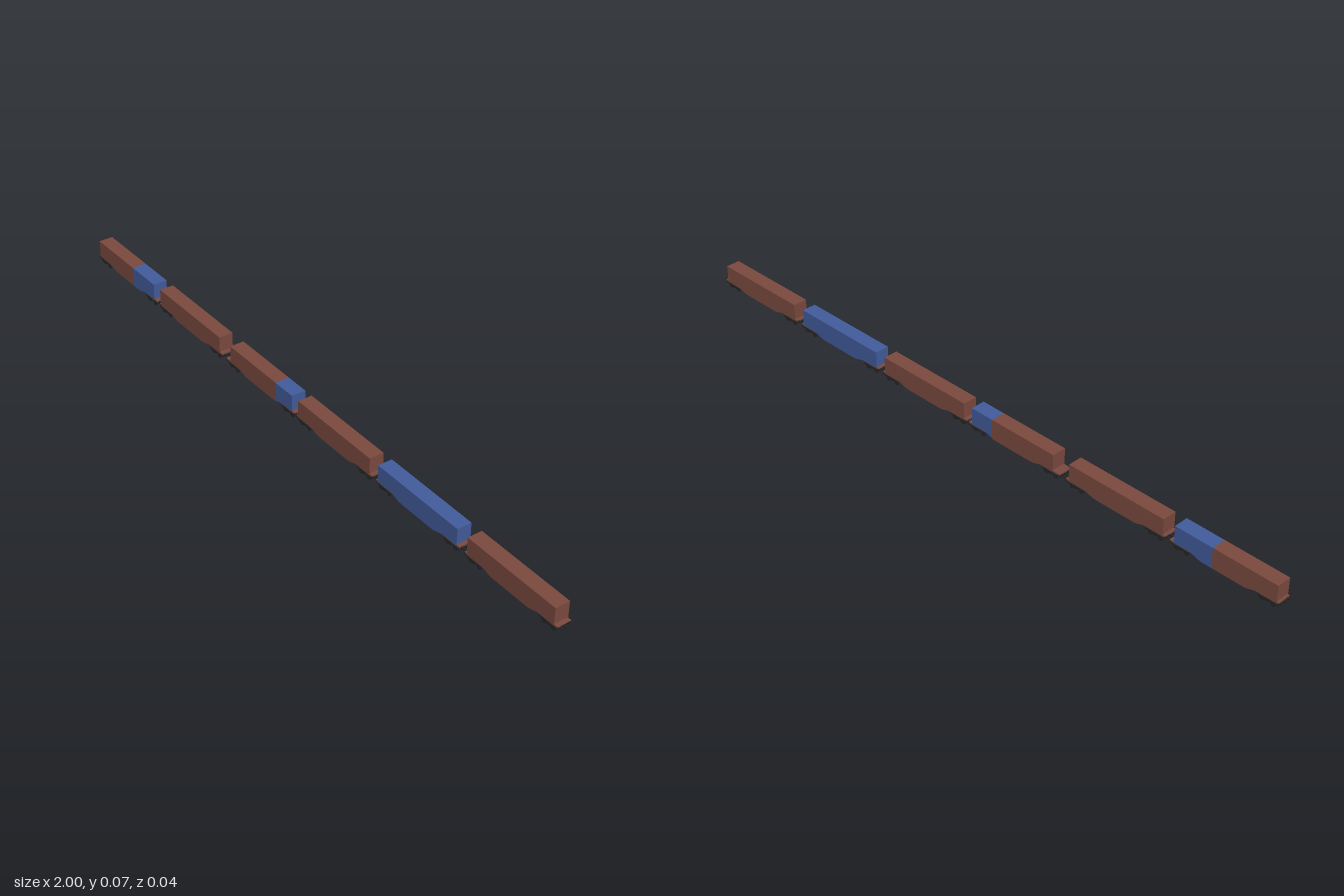
import * as THREE from 'three';

const mat = (name, color) => {
  const m = new THREE.MeshStandardMaterial({ color });
  m.name = name;
  return m;
};

export function createModel() {
  const brown = mat('oxide brown', 0x7b4a3f);
  const blue = mat('container blue', 0x425c9c);
  const black = mat('running gear black', 0x262626);
  const train = new THREE.Group();
  train.name = 'containerTrain';

  const add = (parent, name, geo, material, x = 0, y = 0, z = 0) => {
    const m = new THREE.Mesh(geo, material);
    m.name = name;
    m.position.set(x, y, z);
    parent.add(m);
    return m;
  };
  const box = (parent, name, material, w, h, d, x, y, z = 0) =>
    add(parent, name, new THREE.BoxGeometry(w, h, d), material, x, y, z);

  // fish-bellied lower edge of the side sill, measured from the wagon middle
  const bellyY = (x) => {
    const t = THREE.MathUtils.clamp((0.105 - Math.abs(x)) / 0.045, 0, 1);
    return 0.021 - 0.01 * t * t * (3 - 2 * t);
  };
  const sillGeometry = (x0, x1, depth) => {
    const s = new THREE.Shape();
    s.moveTo(x0, 0.0255);
    const n = 32;
    for (let i = 0; i <= n; i++) {
      const x = x0 + ((x1 - x0) * i) / n;
      s.lineTo(x, bellyY(x));
    }
    s.lineTo(x1, 0.0255);
    return new THREE.ExtrudeGeometry(s, { depth, bevelEnabled: false });
  };

  const wheelGeo = new THREE.CylinderGeometry(0.0075, 0.0075, 0.003, 16).rotateX(Math.PI / 2);
  const axleGeo = new THREE.CylinderGeometry(0.0018, 0.0018, 0.034, 8).rotateX(Math.PI / 2);
  const bufferGeo = new THREE.CylinderGeometry(0.0032, 0.0032, 0.002, 12).rotateZ(Math.PI / 2);

  // two-axle bogie
  const makeBogie = (x) => {
    const g = new THREE.Group();
    g.name = 'bogie';
    g.position.x = x;
    box(g, 'bolster', black, 0.012, 0.006, 0.036, 0, 0.0145);
    for (const s of [-1, 1]) {
      box(g, 'bogieSideFrame', black, 0.052, 0.004, 0.003, 0, 0.0145, s * 0.0192);
      box(g, 'springNest', black, 0.012, 0.006, 0.003, 0, 0.0115, s * 0.0192);
      add(g, 'axle', axleGeo, black, s * 0.0155, 0.0075, 0);
      for (const k of [-1, 1]) {
        add(g, 'wheel', wheelGeo, black, s * 0.0155, 0.0075, k * 0.0155);
        box(g, 'axleBox', black, 0.007, 0.006, 0.003, s * 0.0155, 0.0115, k * 0.0192);
      }
    }
    return g;
  };

  // wagon: centre, then loads as [start, end, material]
  const wagons = [
    [-0.836, [[-0.99, -0.803, brown], [-0.803, -0.69, blue]]],
    [-0.504, [[-0.656, -0.355, brown]]],
    [-0.165, [[-0.302, -0.091, brown], [-0.091, -0.018, blue]]],
    [0.161, [[0.01, 0.311, brown]]],
    [0.495, [[0.344, 0.645, blue]]],
    [0.833, [[0.682, 0.981, brown]]],
  ];

  wagons.forEach(([cx, loads], i) => {
    const w = new THREE.Group();
    w.name = 'wagon' + (i + 1);
    w.position.x = cx;
    train.add(w);

    // underframe
    box(w, 'deck', brown, 0.318, 0.004, 0.0405, 0, 0.0205);
    box(w, 'centreSill', brown, 0.3, 0.006, 0.008, 0, 0.0165);
    for (const x of [-0.07, -0.035, 0, 0.035, 0.07])
      box(w, 'crossBeam', brown, 0.004, 0.007, 0.039, x, 0.0165);

    for (const [a, b, material] of loads) {
      const x0 = a - cx, x1 = b - cx;
      box(w, 'container', material, x1 - x0, 0.0455, 0.042, (x0 + x1) / 2, 0.04725);
      for (const z of [-0.021, 0.0185])
        add(w, 'sideSill', sillGeometry(x0, x1, 0.0025), material, 0, 0, z);
    }

    for (const s of [-1, 1]) {
      w.add(makeBogie(s * 0.126));
      box(w, 'headstock', black, 0.003, 0.009, 0.041, s * 0.1575, 0.0165);
      // coupler reaches the next wagon, or the end of the train
      const outer = (i === 0 && s < 0) || (i === 5 && s > 0);
      const tip = outer ? Math.abs(s - cx) : s < 0 ? (cx - wagons[i - 1][0]) / 2 : (wagons[i + 1][0] - cx) / 2;
      const reach = Math.max(tip - 0.157, 0.003);
      box(w, 'coupler', black, reach, 0.004, 0.004, s * (0.157 + reach / 2), 0.0165);
      for (const k of [-1, 1]) {
        box(w, 'bufferStem', black, reach, 0.003, 0.003, s * (0.157 + reach / 2), 0.0185, k * 0.013);
        add(w, 'buffer', bufferGeo, black, s * (0.157 + reach - 0.001), 0.0185, k * 0.013);
      }
    }
  });
  return train;
}
